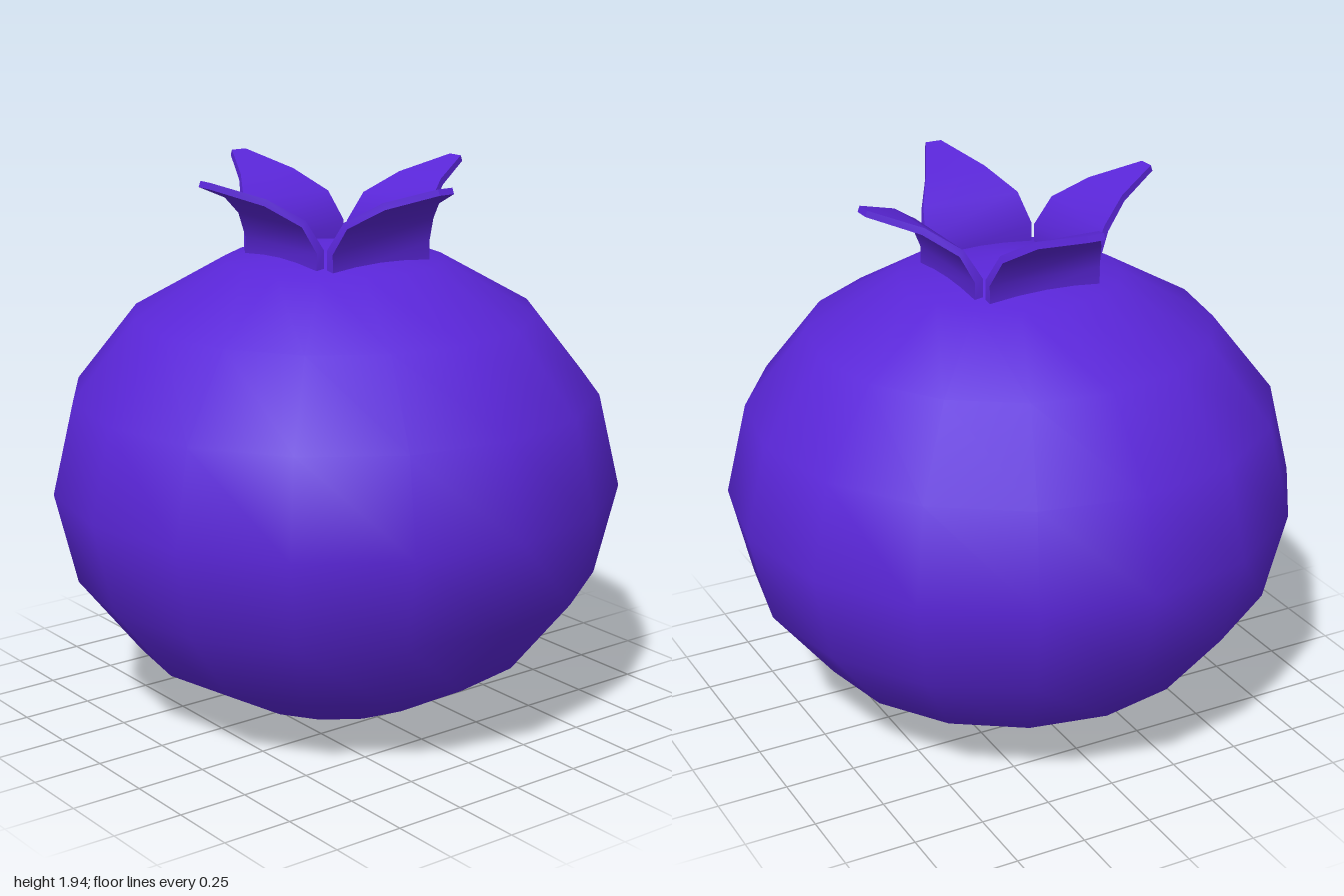
import * as THREE from 'three';
import { toCreasedNormals } from 'three/addons/utils/BufferGeometryUtils.js';

// Crown leaf pointing along +x: each row is inner x, inner y, outer x, outer y, half width
function leafGeometry() {
  const rows = [
    [0.225, 1.62, 0.258, 1.62, 0.207],
    [0.225, 1.705, 0.256, 1.695, 0.207],
    [0.287, 1.805, 0.304, 1.785, 0.184],
    [0.405, 1.878, 0.415, 1.856, 0.115],
    [0.582, 1.937, 0.59, 1.917, 0.03],
  ];
  const positions = [];
  const index = [];
  for (const [xi, yi, xo, yo, w] of rows) {
    positions.push(xi, yi, -w, xi, yi, w, xo, yo, w, xo, yo, -w);
  }
  const quad = (a, b, c, d) => index.push(a, b, c, a, c, d);
  for (let r = 0; r < rows.length - 1; r++) {
    for (let k = 0; k < 4; k++) {
      const n = (k + 1) % 4;
      quad(r * 4 + k, r * 4 + n, r * 4 + 4 + n, r * 4 + 4 + k);
    }
  }
  // End caps
  const t = (rows.length - 1) * 4;
  quad(t, t + 1, t + 2, t + 3);
  quad(3, 2, 1, 0);
  const geometry = new THREE.BufferGeometry();
  geometry.setAttribute('position', new THREE.Float32BufferAttribute(positions, 3));
  geometry.setIndex(index);
  return toCreasedNormals(geometry, 0.9);
}

export function createModel() {
  const model = new THREE.Group();
  model.name = 'berry';
  const skin = new THREE.MeshStandardMaterial({ color: 0x5a26d8 });
  skin.name = 'berry violet';

  // Slightly squashed round body
  const body = new THREE.Mesh(new THREE.SphereGeometry(1, 16, 8).scale(1, 0.845, 1), skin);
  body.name = 'berryBody';
  body.position.y = 0.845;
  model.add(body);

  // Four leaves around the crown, the front and back pair a little shorter
  const crown = new THREE.Group();
  crown.name = 'crown';
  const names = ['leftLeaf', 'backLeaf', 'rightLeaf', 'frontLeaf'];
  const leaf = leafGeometry();
  names.forEach((name, i) => {
    const mesh = new THREE.Mesh(leaf, skin);
    mesh.name = name;
    mesh.rotation.y = (i * Math.PI) / 2;
    mesh.scale.x = i % 2 ? 0.92 : 1;
    mesh.position.z = -0.004;
    crown.add(mesh);
  });
  model.add(crown);
  return model;
}
